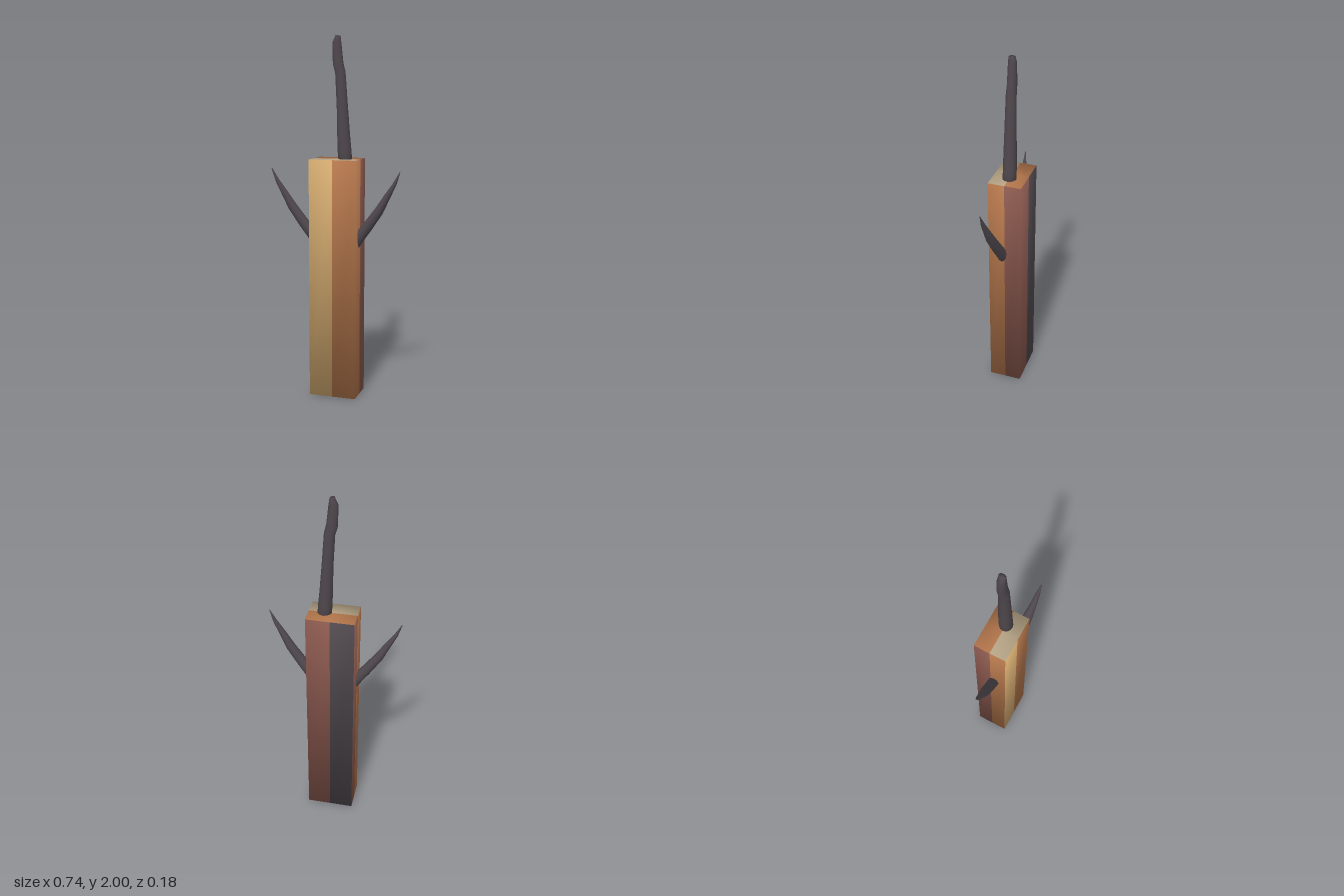
import * as THREE from 'three';

const mat = (name, color) => {
  const m = new THREE.MeshStandardMaterial({ color });
  m.name = name;
  return m;
};

// Tapered limb through sections [x, y, z, radius in the xy plane, radius along z]
function limb(sections, sides = 12) {
  const centres = sections.map(([x, y, z]) => new THREE.Vector3(x, y, z));
  const last = sections.length - 1;
  const pos = [], index = [];
  sections.forEach(([x, y, z, r, rz], i) => {
    const t = centres[Math.min(i + 1, last)].clone().sub(centres[Math.max(i - 1, 0)]).setZ(0).normalize();
    for (let j = 0; j < sides; j++) {
      const a = (j / sides) * Math.PI * 2, c = Math.cos(a) * r;
      pos.push(x + t.y * c, y - t.x * c, z + Math.sin(a) * rz);
    }
  });
  for (let i = 0; i < last; i++) {
    for (let j = 0; j < sides; j++) {
      const a = i * sides + j, b = i * sides + (j + 1) % sides;
      index.push(a, a + sides, b, b, a + sides, b + sides);
    }
  }
  // End caps
  const start = pos.length / 3, end = start + 1;
  pos.push(...centres[0].toArray(), ...centres[last].toArray());
  for (let j = 0; j < sides; j++) {
    const k = (j + 1) % sides;
    index.push(start, j, k, end, last * sides + k, last * sides + j);
  }
  const g = new THREE.BufferGeometry();
  g.setAttribute('position', new THREE.Float32BufferAttribute(pos, 3));
  g.setIndex(index);
  g.computeVertexNormals();
  return g;
}

export function createModel() {
  const model = new THREE.Group();
  const tan = mat('tan', 0xcfa76d);
  const orange = mat('orangeBrown', 0xb0744a);
  const maroon = mat('maroon', 0x86564c);
  const grey = mat('darkGrey', 0x4e474c);
  const khaki = mat('khaki', 0xb3a183);

  // Post: a box with each side split in two coloured halves and softened normals
  const H = 1.336;
  const box = new THREE.BoxGeometry(0.266, H, 0.184, 2, 1, 2);
  const p = box.attributes.position, n = new THREE.Vector3();
  for (let i = 0; i < p.count; i++) {
    n.set(Math.sign(p.getX(i)), Math.sign(p.getY(i)), Math.sign(p.getZ(i))).normalize();
    box.attributes.normal.setXYZ(i, n.x, n.y, n.z);
  }
  box.translate(0, H / 2, 0);
  // One entry per cell, in the order +x, -x, top, bottom, front, back
  const palette = [tan, orange, maroon, grey, khaki];
  const cells = [1, 2, 2, 1, 1, 1, 4, 4, 4, 4, 1, 1, 0, 1, 2, 3];
  box.clearGroups();
  cells.forEach((c, i) => box.addGroup(i * 6, 6, c));
  const post = new THREE.Mesh(box, palette);
  post.name = 'post';
  model.add(post);

  // Crooked spike on top
  const spike = new THREE.Mesh(limb([
    [0.05, 1.3, 0, 0.038, 0.038],
    [0.043, 1.38, 0, 0.039, 0.037],
    [0.038, 1.46, 0, 0.036, 0.036],
    [0.03, 1.62, 0, 0.031, 0.032],
    [0.019, 1.8, 0, 0.029, 0.028],
    [0.006, 1.85, 0, 0.03, 0.026],
    [-0.001, 1.96, 0, 0.025, 0.023],
    [0.006, 1.998, 0, 0.013, 0.019],
  ]), grey);
  spike.name = 'topSpike';
  model.add(spike);

  // Mirrored thorns on the sides
  const thorn = [
    [0.09, 0.835, 0.016, 0.028, 0.026],
    [0.135, 0.91, 0.02, 0.031, 0.031],
    [0.185, 0.975, 0.026, 0.029, 0.029],
    [0.25, 1.065, 0.032, 0.025, 0.027],
    [0.293, 1.14, 0.039, 0.018, 0.019],
    [0.335, 1.21, 0.043, 0.011, 0.012],
    [0.366, 1.278, 0.047, 0.002, 0.002],
  ];
  for (const s of [1, -1]) {
    const m = new THREE.Mesh(limb(thorn.map(([x, ...rest]) => [s * x, ...rest])), grey);
    m.name = s > 0 ? 'leftThorn' : 'rightThorn';
    model.add(m);
  }
  return model;
}
